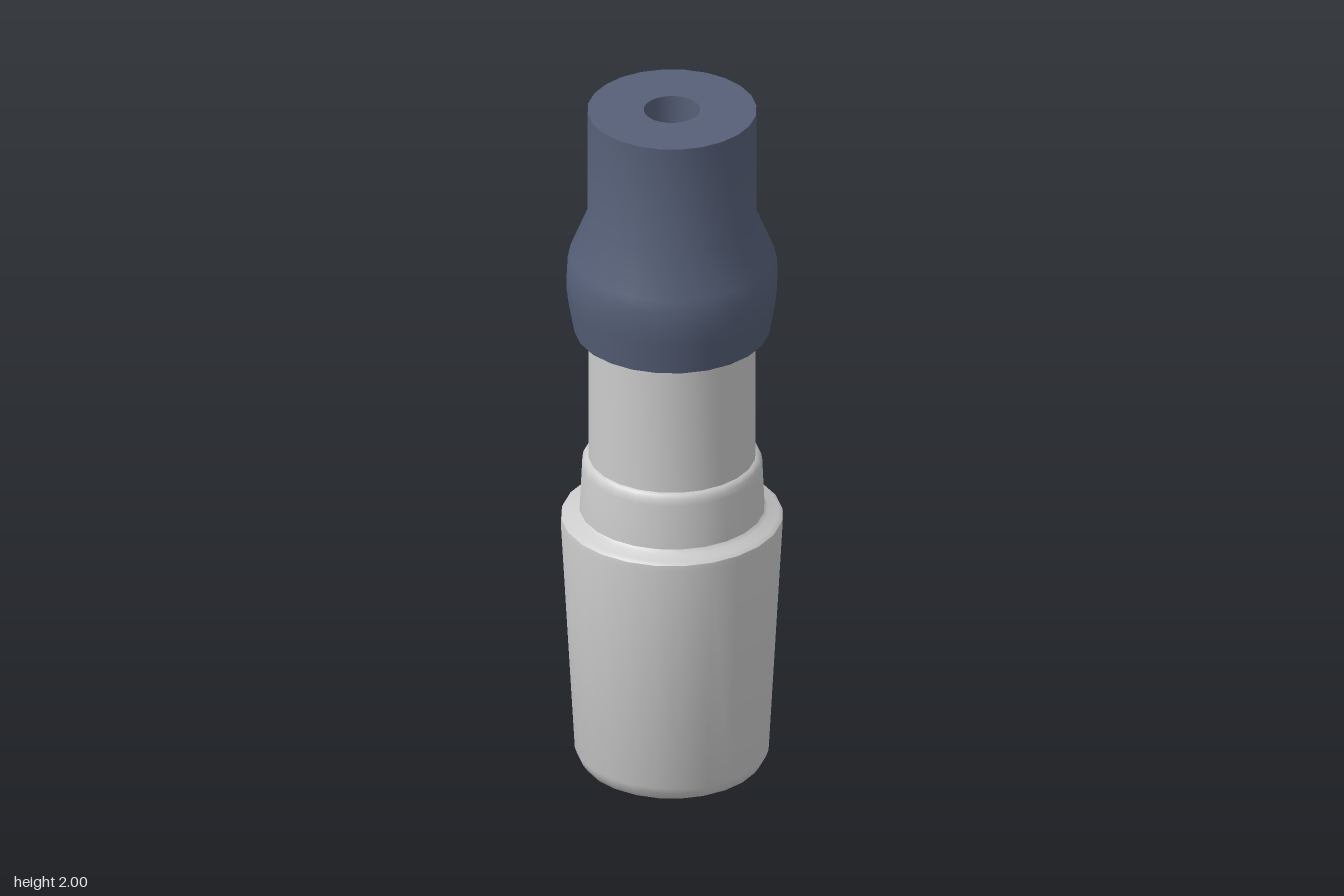
import * as THREE from 'three';
import { toCreasedNormals } from 'three/addons/utils/BufferGeometryUtils.js';

const SIDES = 24;

// Revolves a closed [radius, height] profile: outside upwards, inside downwards.
function turned(name, profile, color) {
  const points = [...profile, profile[0]].map(([r, y]) => new THREE.Vector2(r, y));
  const geometry = toCreasedNormals(new THREE.LatheGeometry(points, SIDES), 0.6);
  const mesh = new THREE.Mesh(geometry, new THREE.MeshStandardMaterial({ color }));
  mesh.name = name;
  return mesh;
}

export function createModel() {
  const model = new THREE.Group();
  model.name = 'taperedTubeAdapter';

  // Hollow ground joint: tapered body, rounded shoulder, collar and straight neck
  model.add(turned('taperedJoint', [
    [0.228, 0], [0.245, 0.01], [0.258, 0.03], [0.265, 0.05],
    [0.303, 0.74], [0.301, 0.755], [0.29, 0.764], [0.262, 0.77], [0.252, 0.78],
    [0.246, 0.91], [0.243, 0.928], [0.236, 0.938], [0.228, 0.942],
    [0.228, 1.68],
    [0.2, 1.68], [0.2, 0.8], [0.21, 0.77], [0.25, 0.71], [0.222, 0],
  ], 0xcccccc));

  // Sleeve: flared skirt over the neck, straight upper barrel, narrow bore
  model.add(turned('sleeve', [
    [0.228, 1.33], [0.266, 1.33], [0.282, 1.42], [0.287, 1.46], [0.288, 1.49],
    [0.286, 1.525], [0.279, 1.56], [0.23, 1.68],
    [0.23, 2], [0.077, 2],
    [0.077, 1.68], [0.228, 1.68],
  ], 0x566078));

  return model;
}
